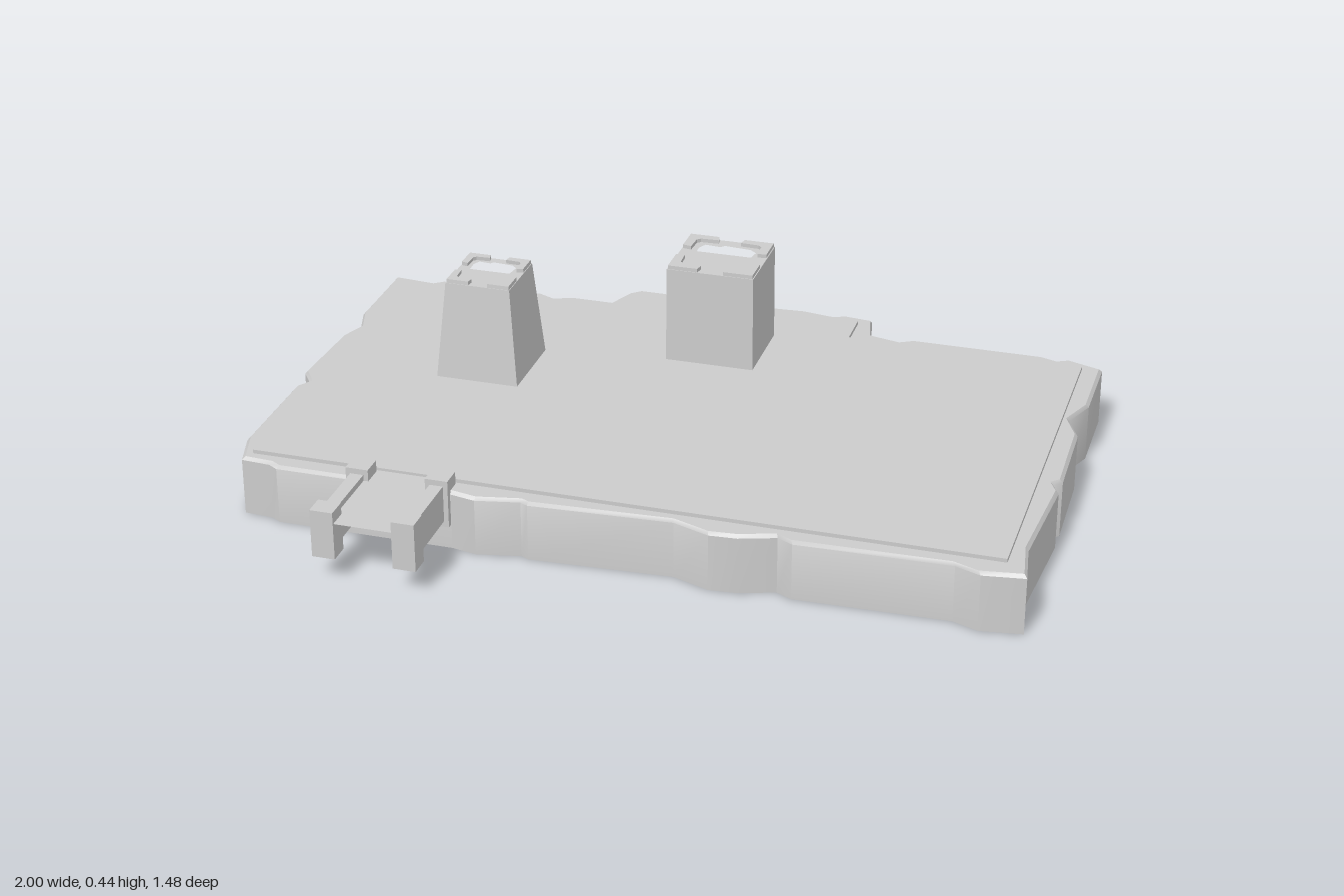
import * as THREE from 'three';
import { toCreasedNormals } from 'three/addons/utils/BufferGeometryUtils.js';

const grey = new THREE.MeshStandardMaterial({ color: 0xcccccc });
const greyBoth = new THREE.MeshStandardMaterial({ color: 0xcccccc, side: THREE.DoubleSide });

// Ragged cliff edge as [x, z], seen from above
const CLIFF = [
  [-0.99, -0.635], [-0.88, -0.625], [-0.855, -0.645], [-0.57, -0.645], [-0.525, -0.625], [-0.475, -0.645],
  [-0.36, -0.645], [-0.33, -0.72], [-0.305, -0.743], [-0.235, -0.743], [-0.205, -0.72], [0.16, -0.743],
  [0.245, -0.73], [0.28, -0.743], [0.35, -0.735], [0.37, -0.645], [0.455, -0.625], [0.49, -0.645],
  [0.835, -0.645], [0.88, -0.63], [0.91, -0.645], [0.995, -0.615], [0.995, -0.4], [0.96, -0.31],
  [0.995, -0.23], [1, 0.02], [0.98, 0.04], [1, 0.08], [0.98, 0.375], [1, 0.5], [0.895, 0.515],
  [0.83, 0.49], [0.445, 0.5], [0.405, 0.48], [0.315, 0.51], [0.245, 0.515], [0.15, 0.48], [-0.21, 0.5],
  [-0.23, 0.49], [-0.34, 0.513], [-0.405, 0.5], [-0.86, 0.5], [-0.885, 0.485], [-0.96, 0.48],
  [-0.99, 0.38], [-0.99, 0.08], [-0.965, 0.04], [-1, -0.01], [-0.99, -0.24], [-0.965, -0.31], [-0.99, -0.39],
];
const LAWN = [
  [-0.94, -0.59], [-0.31, -0.59], [-0.31, -0.695], [0.32, -0.695],
  [0.32, -0.59], [0.945, -0.59], [0.945, 0.455], [-0.94, 0.455],
];

const toVectors = (pts) => pts.map(([x, z]) => new THREE.Vector2(x, -z));

// Extrude a plan outline [x, z] upward between two heights
function slab(outline, y0, y1, hole) {
  const shape = new THREE.Shape(toVectors(outline));
  if (hole) shape.holes.push(new THREE.Path(toVectors(hole)));
  return new THREE.ExtrudeGeometry(shape, { depth: y1 - y0, bevelEnabled: false })
    .rotateX(-Math.PI / 2).translate(0, y0, 0);
}

function add(parent, name, geometry, material = grey) {
  const mesh = new THREE.Mesh(geometry, material);
  mesh.name = name;
  parent.add(mesh);
  return mesh;
}

// Open-bottomed cliff wall with a narrow chamfer at the top
function cliffWall(inset) {
  const rows = [[CLIFF, 0], [CLIFF, 0.148], [inset, 0.157]];
  const n = CLIFF.length, pos = [], index = [];
  for (const [pts, y] of rows) for (const [x, z] of pts) pos.push(x, y, z);
  for (let r = 0; r < rows.length - 1; r++) {
    for (let i = 0; i < n; i++) {
      const a = r * n + i, b = r * n + (i + 1) % n;
      index.push(a, a + n, b, b, a + n, b + n);
    }
  }
  const g = new THREE.BufferGeometry();
  g.setAttribute('position', new THREE.Float32BufferAttribute(pos, 3));
  g.setIndex(index);
  return toCreasedNormals(g, 0.6);
}

// Square tower with a ragged pit and four low corner merlons
function tower(name, x, z, width, depth, topScale, pitX, pitZ) {
  const group = new THREE.Group();
  group.name = name;
  group.position.set(x, 0, z);
  const y0 = 0.15, floor = 0.385, notch = 0.425, top = 0.435;
  const square = [[-0.5, -0.5], [0.5, -0.5], [0.5, 0.5], [-0.5, 0.5]];
  const pit = [
    [-0.33, -0.2], [-0.28, -0.31], [-0.1, -0.29], [-0.06, -0.34], [0.25, -0.31], [0.33, -0.24],
    [0.29, 0.05], [0.33, 0.25], [0.24, 0.32], [0.08, 0.3], [0.02, 0.35], [-0.24, 0.3], [-0.31, 0.2],
  ].map(([u, v]) => [u + pitX, v + pitZ]);
  // Scale to size, narrowing with height
  const taper = (g) => {
    const p = g.attributes.position;
    for (let i = 0; i < p.count; i++) {
      const s = THREE.MathUtils.lerp(1, topScale, (p.getY(i) - y0) / (top - y0));
      p.setX(i, p.getX(i) * width * s);
      p.setZ(i, p.getZ(i) * depth * s);
    }
    g.computeVertexNormals();
    return g;
  };
  add(group, 'towerBody', taper(slab(square, y0, floor)));
  add(group, 'towerRim', taper(slab(square, floor, notch, pit)));
  for (const sx of [-1, 1]) {
    for (const sz of [-1, 1]) {
      const merlon = [[0.49, 0.49], [0.49, 0.15], [0.39, 0.13], [0.38, 0.34], [0.34, 0.38], [0.13, 0.39], [0.15, 0.49]]
        .map(([u, v]) => [u * sx, v * sz]);
      add(group, 'merlon', taper(slab(merlon, notch, top)));
    }
  }
  return group;
}

// Short jetty: thin deck, two side beams, four posts
function jetty() {
  const group = new THREE.Group();
  group.name = 'jetty';
  add(group, 'deck', new THREE.PlaneGeometry(0.2, 0.28).rotateX(-Math.PI / 2).translate(-0.5375, 0.16, 0.595));
  for (const x of [-0.64, -0.435]) {
    add(group, 'sideBeam', new THREE.BoxGeometry(0.034, 0.095, 0.23)).position.set(x, 0.128, 0.6);
    for (const z of [0.488, 0.711]) {
      add(group, 'post', new THREE.BoxGeometry(0.058, 0.125, 0.054)).position.set(x, 0.1275, z);
    }
  }
  return group;
}

export function createModel() {
  const model = new THREE.Group();
  model.name = 'castleIsland';

  // Cliff and its flat rim around the lawn
  const inset = CLIFF.map(([x, z]) => [x * 0.992, z * 0.988]);
  add(model, 'cliffWall', cliffWall(inset), greyBoth);
  const rim = new THREE.Shape(toVectors(inset));
  rim.holes.push(new THREE.Path(toVectors(LAWN)));
  add(model, 'cliffRim', new THREE.ShapeGeometry(rim).rotateX(-Math.PI / 2).translate(0, 0.157, 0), greyBoth);
  add(model, 'lawn', slab(LAWN, 0.153, 0.167));

  model.add(tower('squareTower', 0.008, -0.435, 0.235, 0.222, 0.985, 0.01, -0.01));
  model.add(tower('taperedTower', -0.54, -0.172, 0.222, 0.23, 0.77, 0, -0.03));
  model.add(jetty());
  return model;
}
